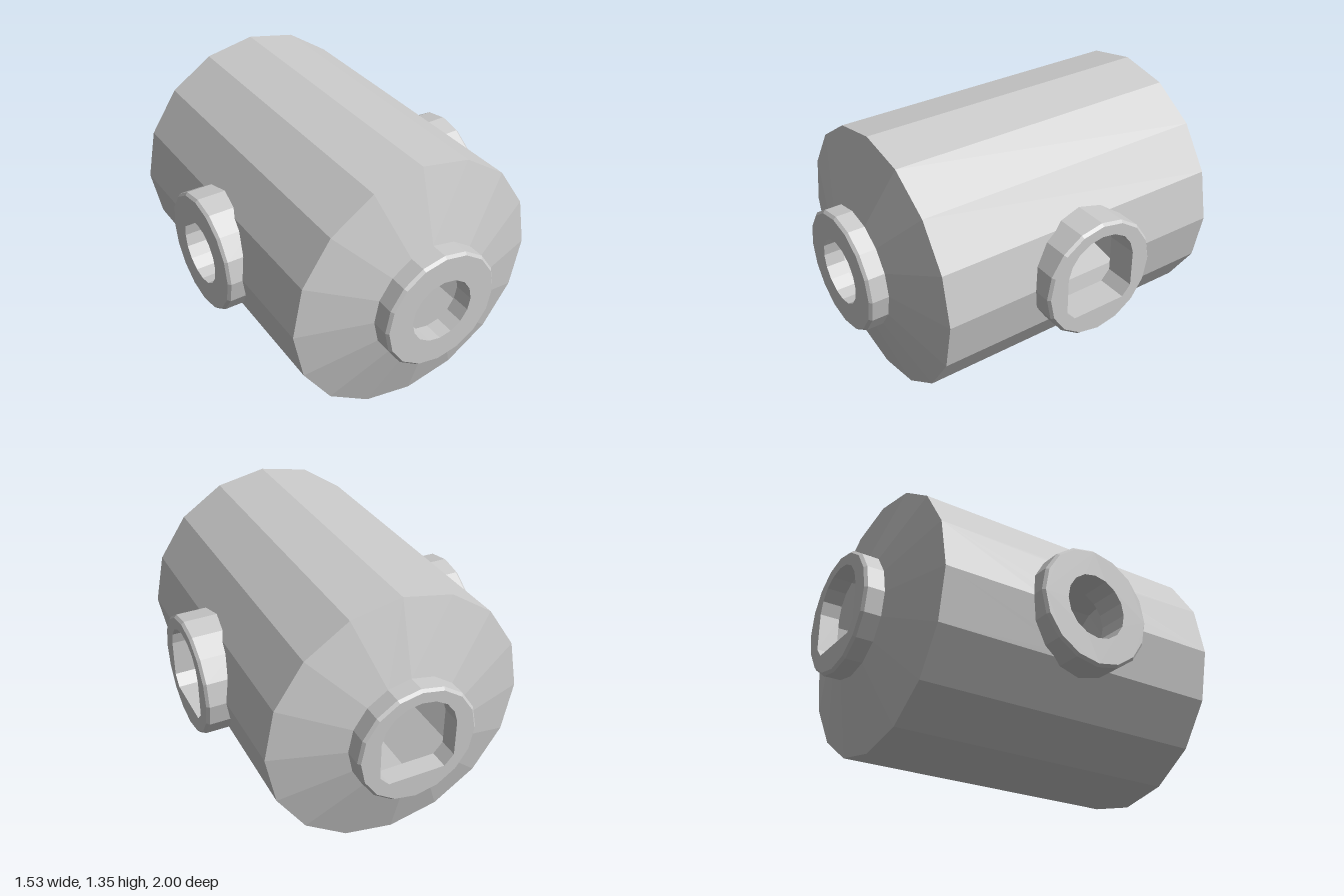
import * as THREE from 'three';

const SIDES = 16, R = 0.677, HALF = 0.79, COLLAR_R = 0.313;
const CX = -0.0125, CY = 0.68;
const material = new THREE.MeshStandardMaterial({ color: 0xcccccc, flatShading: true, side: THREE.DoubleSide });

function add(parent, geometry, name) {
  const mesh = new THREE.Mesh(geometry, material);
  mesh.name = name;
  parent.add(mesh);
  return mesh;
}

// regular polygon outline with a corner pointing up
function ring(radius) {
  return Array.from({ length: SIDES }, (_, i) => {
    const a = (i / SIDES) * Math.PI * 2;
    return new THREE.Vector2(radius * Math.sin(a), radius * Math.cos(a));
  });
}

// arched opening: flat floor, chamfered lower corners, rounded top
function arch() {
  const half = [[0.15, -0.173], [0.198, -0.12], [0.198, 0.075], [0.178, 0.14], [0.136, 0.195], [0.075, 0.23]];
  const right = half.map(([x, y]) => new THREE.Vector2(x, y));
  const left = half.map(([x, y]) => new THREE.Vector2(-x, y)).reverse();
  return [...right, new THREE.Vector2(0, 0.243), ...left];
}

// collar facing +z, its outer face at z = 0
function makePort(name, opening, depth, root) {
  const port = new THREE.Group();
  port.name = name;
  const rim = [[COLLAR_R, -root], [COLLAR_R, -0.014], [COLLAR_R - 0.013, 0]].map(([r, y]) => new THREE.Vector2(r, y));
  add(port, new THREE.LatheGeometry(rim, SIDES).rotateX(Math.PI / 2), 'collarRim');
  const face = new THREE.Shape(ring(COLLAR_R - 0.013));
  face.holes.push(new THREE.Path(opening));
  const plate = new THREE.ExtrudeGeometry(face, { depth, bevelEnabled: false });
  add(port, plate.translate(0, 0, -depth), 'collarPlate');
  return port;
}

// side panel above the middle line, notched for the port and tilted to the barrel facet
function panelGeometry() {
  const step = (Math.PI * 2) / SIDES, top = R * Math.sin(step), notch = 0.245;
  const s = new THREE.Shape();
  s.moveTo(notch, 0);
  s.lineTo(HALF, 0);
  s.lineTo(HALF, top);
  s.lineTo(-HALF, top);
  s.lineTo(-HALF, 0);
  s.lineTo(-notch, 0);
  s.absarc(0, 0, notch, Math.PI, 0, true);
  const g = new THREE.ShapeGeometry(s, 8);
  const p = g.attributes.position;
  for (let i = 0; i < p.count; i++) p.setZ(i, R - p.getY(i) * Math.tan(step / 2));
  g.computeVertexNormals();
  return g;
}

export function createModel() {
  const model = new THREE.Group();
  model.name = 'crossPipeHousing';

  // hollow barrel along z
  const body = new THREE.Group();
  body.name = 'barrel';
  body.position.set(CX, CY, 0);
  model.add(body);
  for (const [name, mid] of [['barrelTop', Math.PI], ['barrelBottom', 0]]) {
    const g = new THREE.CylinderGeometry(R, R, HALF * 2, 6, 1, true, mid - Math.PI * 3 / 8, Math.PI * 3 / 4);
    add(body, g.rotateX(Math.PI / 2), name);
  }
  for (const side of [1, -1]) {
    for (const flip of [0, Math.PI]) {
      add(body, panelGeometry().rotateZ(flip).rotateY(side * Math.PI / 2), 'sidePanel');
    }
    // tapered ends
    const cone = new THREE.CylinderGeometry(COLLAR_R, R, 0.11, SIDES, 1, true);
    cone.rotateX(Math.PI / 2).translate(0, 0, HALF + 0.055);
    add(body, cone.rotateY(side > 0 ? 0 : Math.PI), side > 0 ? 'frontTaper' : 'backTaper');
  }

  // four ports: round on the front and right, arched on the back and left
  const ports = [
    ['frontPort', ring(0.168), 0.1, 0.1, CX, 1, 0],
    ['backPort', arch(), 0.1, 0.1, CX, -1, Math.PI],
    ['leftPort', arch(), 0.16, 0.19, 0.763, 0, Math.PI / 2],
    ['rightPort', ring(0.168), 0.16, 0.19, -0.763, 0, -Math.PI / 2],
  ];
  for (const [name, opening, depth, root, x, z, turn] of ports) {
    const port = makePort(name, opening, depth, root);
    port.position.set(x, CY, z);
    port.rotation.y = turn;
    model.add(port);
  }
  return model;
}
